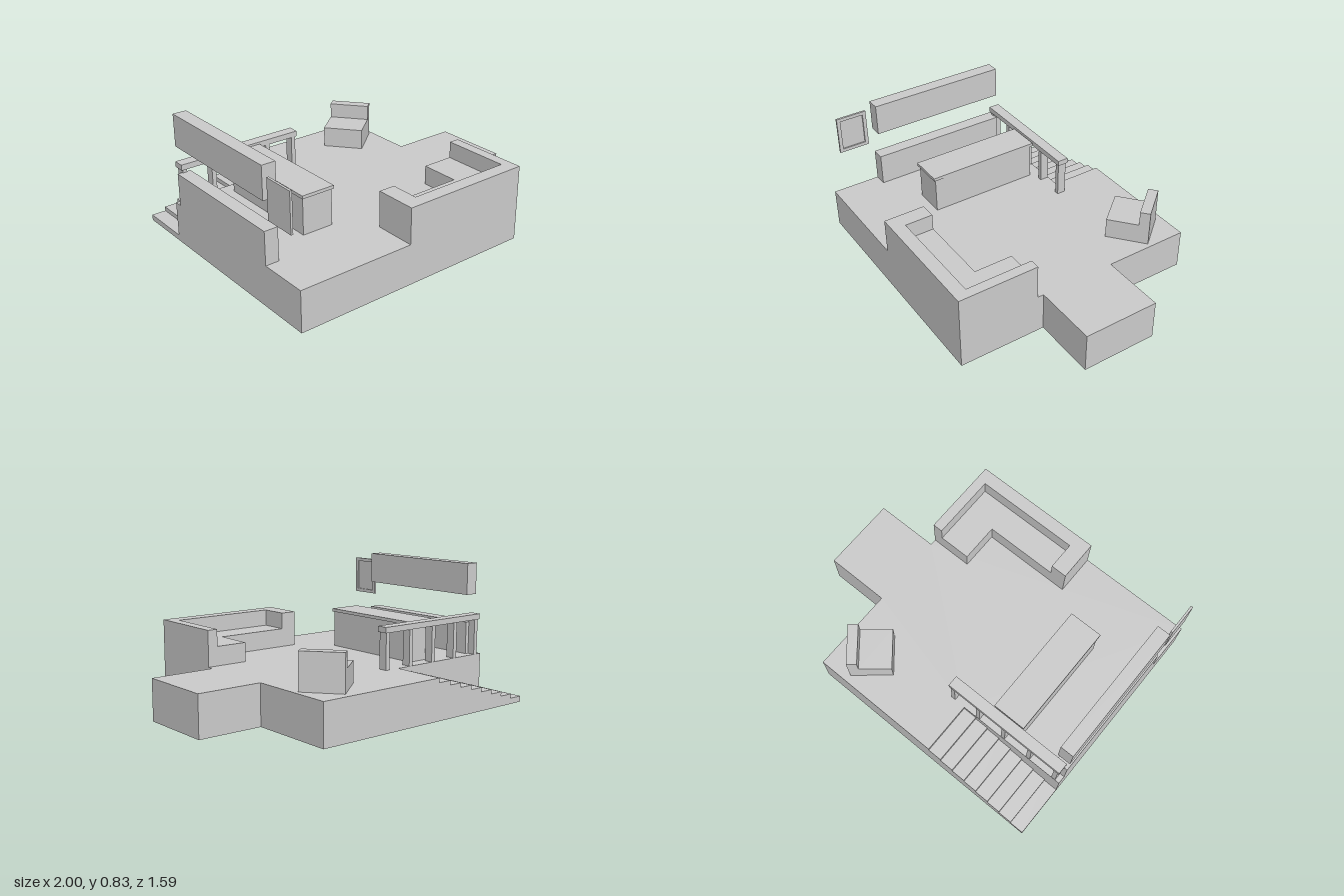
import * as THREE from 'three';

const grey = new THREE.MeshStandardMaterial({ color: 0xcccccc, flatShading: true });
const shell = new THREE.MeshStandardMaterial({ color: 0xcccccc, flatShading: true, side: THREE.DoubleSide });
const DECK = 0.255;

function add(parent, name, geometry, material = grey) {
  const mesh = new THREE.Mesh(geometry, material);
  mesh.name = name;
  parent.add(mesh);
  return mesh;
}

// Box given by its extents on each axis
function box(parent, name, [x0, x1], [y0, y1], [z0, z1]) {
  const mesh = add(parent, name, new THREE.BoxGeometry(x1 - x0, y1 - y0, z1 - z0));
  mesh.position.set((x0 + x1) / 2, (y0 + y1) / 2, (z0 + z1) / 2);
  return mesh;
}

// Sweep a polyline along an offset vector, giving one flat quad per segment
function ribbon(points, offset) {
  const pos = [];
  for (let i = 0; i < points.length - 1; i++) {
    const a = points[i], b = points[i + 1];
    const c = b.clone().add(offset), d = a.clone().add(offset);
    for (const p of [a, b, c, a, c, d]) pos.push(p.x, p.y, p.z);
  }
  const g = new THREE.BufferGeometry();
  g.setAttribute('position', new THREE.Float32BufferAttribute(pos, 3));
  g.computeVertexNormals();
  return g;
}

function group(parent, name) {
  const g = new THREE.Group();
  g.name = name;
  parent.add(g);
  return g;
}

function shapeOf(pairs) {
  return new THREE.Shape(pairs.map(([x, y]) => new THREE.Vector2(x, y)));
}

export function createModel() {
  const model = group(new THREE.Group(), 'loungeRoom');
  model.removeFromParent();

  // Platform: open underneath, with a side landing and a stair notch
  const platform = group(model, 'platform');
  const outline = [[-1, 0.795], [0.59, 0.795], [0.59, 0.24], [1, 0.24], [1, -0.245], [0.59, -0.245],
    [0.59, -0.795], [-0.27, -0.795], [-0.27, -0.46], [-1, -0.46]];
  const floor = new THREE.ShapeGeometry(shapeOf(outline.map(([x, z]) => [x, -z])));
  floor.rotateX(-Math.PI / 2).translate(0, DECK, 0);
  add(platform, 'floor', floor, shell);
  const ring = [...outline, outline[0]].map(([x, z]) => new THREE.Vector3(x, 0, z));
  add(platform, 'outerWalls', ribbon(ring, new THREE.Vector3(0, DECK, 0)), shell);

  // Stairs descending toward -x along the back
  const stairs = group(model, 'stairs');
  const steps = 8, run = 0.73 / steps;
  const profile = [[-1, 0]];
  for (let k = 0; k < steps; k++) {
    const y = 0.036 + k * 0.0274;
    profile.push([-1 + k * run, y], [-1 + (k + 1) * run, y]);
  }
  profile.push([-0.27, DECK]);
  add(stairs, 'treadsAndRisers',
    ribbon(profile.map(([x, y]) => new THREE.Vector3(x, y, -0.795)), new THREE.Vector3(0, 0, 0.335)), shell);
  const stringer = new THREE.ShapeGeometry(shapeOf([...profile, [-0.27, 0]]));
  add(stairs, 'stringer', stringer.translate(0, 0, -0.795), shell);

  // Railing above the stairs
  const railing = group(model, 'railing');
  box(railing, 'handrail', [-0.98, -0.16], [0.48, 0.515], [-0.465, -0.395]);
  for (let i = 0; i < 5; i++) {
    const x = -0.955 + i * 0.193;
    box(railing, 'post', [x - 0.014, x + 0.014], [DECK, 0.48], [-0.458, -0.402]);
  }

  // Island counter
  const counter = group(model, 'counter');
  box(counter, 'counterBody', [-0.65, -0.45], [DECK, 0.485], [-0.375, 0.34]);
  box(counter, 'counterTop', [-0.66, -0.443], [0.485, 0.505], [-0.388, 0.352]);

  // Cabinets along the side
  box(model, 'lowerCabinet', [-1, -0.915], [DECK, 0.46], [-0.41, 0.485]);
  box(model, 'upperCabinet', [-1, -0.915], [0.635, 0.835], [-0.41, 0.485]);

  // Picture frame with a recessed panel
  const picture = group(model, 'pictureFrame');
  const border = shapeOf([[-0.1, -0.122], [0.1, -0.122], [0.1, 0.122], [-0.1, 0.122]]);
  border.holes.push(new THREE.Path([[-0.077, -0.1], [-0.077, 0.1], [0.077, 0.1], [0.077, -0.1]]
    .map(([x, y]) => new THREE.Vector2(x, y))));
  add(picture, 'frameBorder', new THREE.ExtrudeGeometry(border, { depth: 0.014, bevelEnabled: false }));
  box(picture, 'framePanel', [-0.077, 0.077], [-0.1, 0.1], [0, 0.005]);
  picture.rotation.y = Math.PI / 2;
  picture.position.set(-1, 0.662, 0.626);

  // Corner sofa: L-shaped seat, two backs and one arm
  const sofa = group(model, 'cornerSofa');
  const seatTop = 0.375;
  box(sofa, 'longSeat', [-0.155, 0.525], [DECK, seatTop], [0.53, 0.71]);
  box(sofa, 'shortSeat', [0.32, 0.525], [DECK, seatTop], [0.28, 0.53]);
  box(sofa, 'longBack', [-0.26, 0.59], [DECK, 0.48], [0.71, 0.795]);
  box(sofa, 'shortBack', [0.525, 0.59], [DECK, 0.48], [0.28, 0.71]);
  box(sofa, 'arm', [-0.26, -0.155], [DECK, 0.48], [0.53, 0.71]);

  // Armchair turned toward the room
  const chair = group(model, 'armchair');
  box(chair, 'chairSeat', [-0.133, 0.069], [0, 0.13], [-0.128, 0.128]);
  box(chair, 'chairBack', [0.069, 0.133], [0, 0.225], [-0.128, 0.128]);
  chair.position.set(0.38, DECK, -0.566);
  chair.rotation.y = 0.69;

  return model;
}
